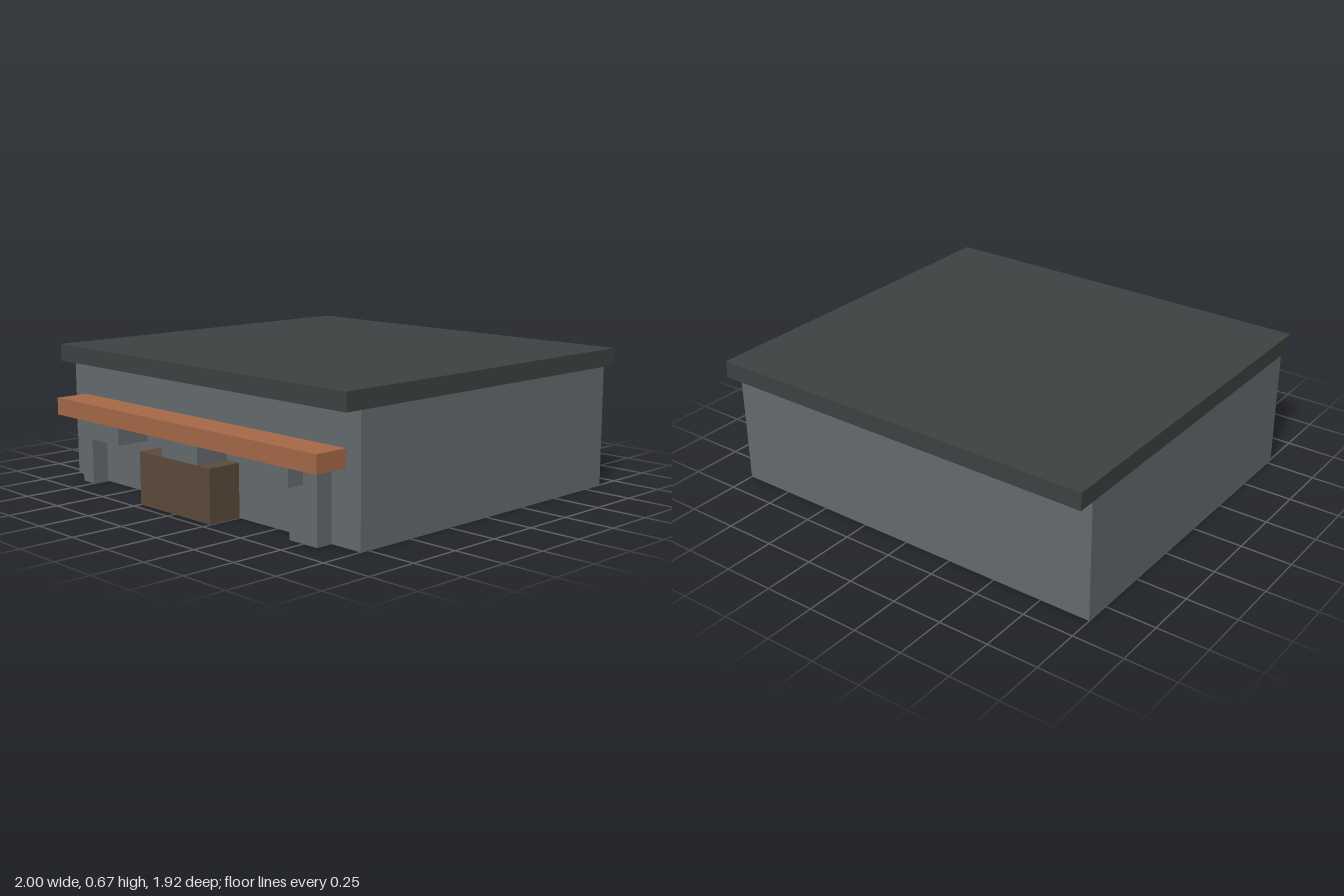
import * as THREE from 'three';

const UNIT = 1 / 12; // the whole model sits on a grid of twelfths

const mat = (name, color) => {
  const m = new THREE.MeshStandardMaterial({ color });
  m.name = name;
  return m;
};

export function createModel() {
  const stone = mat('stone grey', 0x656b6e);
  const slate = mat('dark slate', 0x3c4342);
  const wood = mat('warm wood', 0xa66a48);
  const crateBrown = mat('dark brown', 0x5c4b3b);

  const group = new THREE.Group();
  group.name = 'stall';

  // Box spanning min..max on each axis, in grid units
  const block = (name, material, [x0, x1], [y0, y1], [z0, z1]) => {
    const geo = new THREE.BoxGeometry((x1 - x0) * UNIT, (y1 - y0) * UNIT, (z1 - z0) * UNIT);
    const mesh = new THREE.Mesh(geo, material);
    mesh.name = name;
    mesh.position.set((x0 + x1) / 2, (y0 + y1) / 2, (z0 + z1) / 2).multiplyScalar(UNIT);
    group.add(mesh);
  };

  const wall = 9.5;   // front face of the body
  const front = 11.5; // front edge of the counter

  // Body and the roof slab overhanging front and back
  block('body', stone, [-12, 12], [0, 7], [-10.5, wall]);
  block('roof', slate, [-12, 12], [7, 8], [-11.5, 10.5]);

  // Counter shelf along the front
  block('counter', wood, [-11, 11], [4, 5], [wall, front]);

  // Legs against the wall
  block('rightLeg', stone, [-10, -9], [0, 4], [wall, 10.5]);
  block('leftLeg', stone, [8, 10], [0, 4], [wall, 10.5]);

  // Blocks hanging under the counter
  block('rightBracket', stone, [-9, -5], [3, 4], [wall, front]);
  block('middleBracket', stone, [-1, 2], [3, 4], [wall, front]);
  block('leftBracket', stone, [6, 9], [3, 4], [wall, front]);

  // Crate under the middle of the counter
  block('crate', crateBrown, [-3, 3], [0, 3], [wall, front]);

  return group;
}
